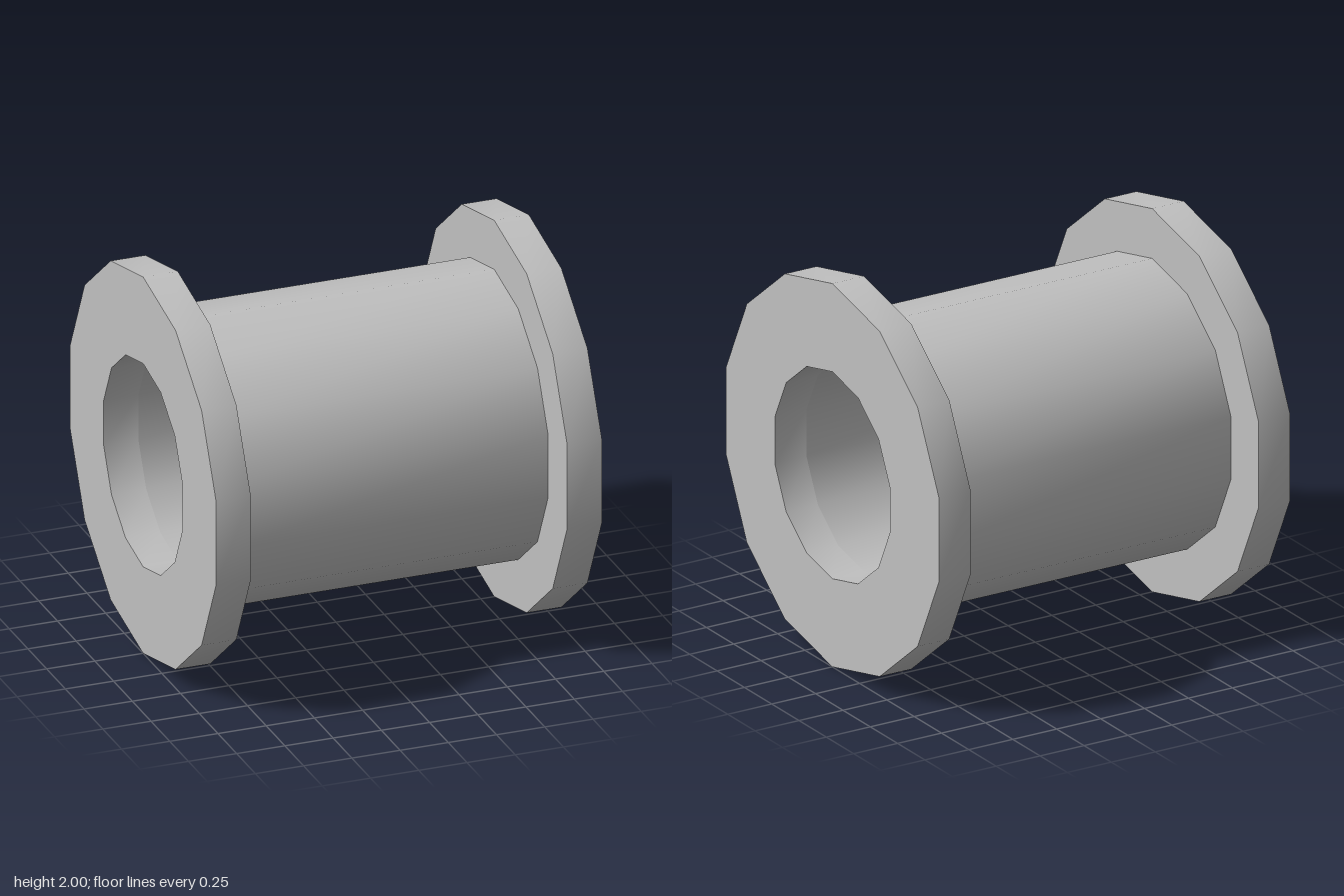
import * as THREE from 'three';
import { toCreasedNormals } from 'three/addons/utils/BufferGeometryUtils.js';

const SIDES = 14;
const RIM = 1, BARREL = 0.74, BORE = 0.54; // radii
const END = 1, INNER = 0.82;               // flange faces along x

// Turns a [radius, x] profile around the x axis, with a corner at top and bottom
function turned(profile) {
  const points = profile.map(([r, x]) => new THREE.Vector2(r, x));
  const geometry = new THREE.LatheGeometry(points, SIDES, Math.PI / 2);
  geometry.rotateZ(-Math.PI / 2);
  return toCreasedNormals(geometry, THREE.MathUtils.degToRad(40));
}

export function createModel() {
  const group = new THREE.Group();
  group.name = 'flangedBushing';
  const grey = new THREE.MeshStandardMaterial({ color: 0xc0c0c0 });
  grey.name = 'lightGrey';

  const add = (name, geometry) => {
    const mesh = new THREE.Mesh(geometry, grey);
    mesh.name = name;
    mesh.position.y = RIM;
    group.add(mesh);
    return mesh;
  };

  // Hollow barrel: outer wall and bore
  add('barrelWall', turned([[BARREL, -INNER], [BARREL, INNER]]));
  add('barrelBore', turned([[BORE, INNER], [BORE, -INNER]]));

  // Flange ring: inner face, rim, end face and its part of the bore
  const flange = turned([[BARREL, INNER], [RIM, INNER], [RIM, END], [BORE, END], [BORE, INNER]]);
  add('leftFlange', flange);
  add('rightFlange', flange).rotation.y = Math.PI;

  return group;
}
